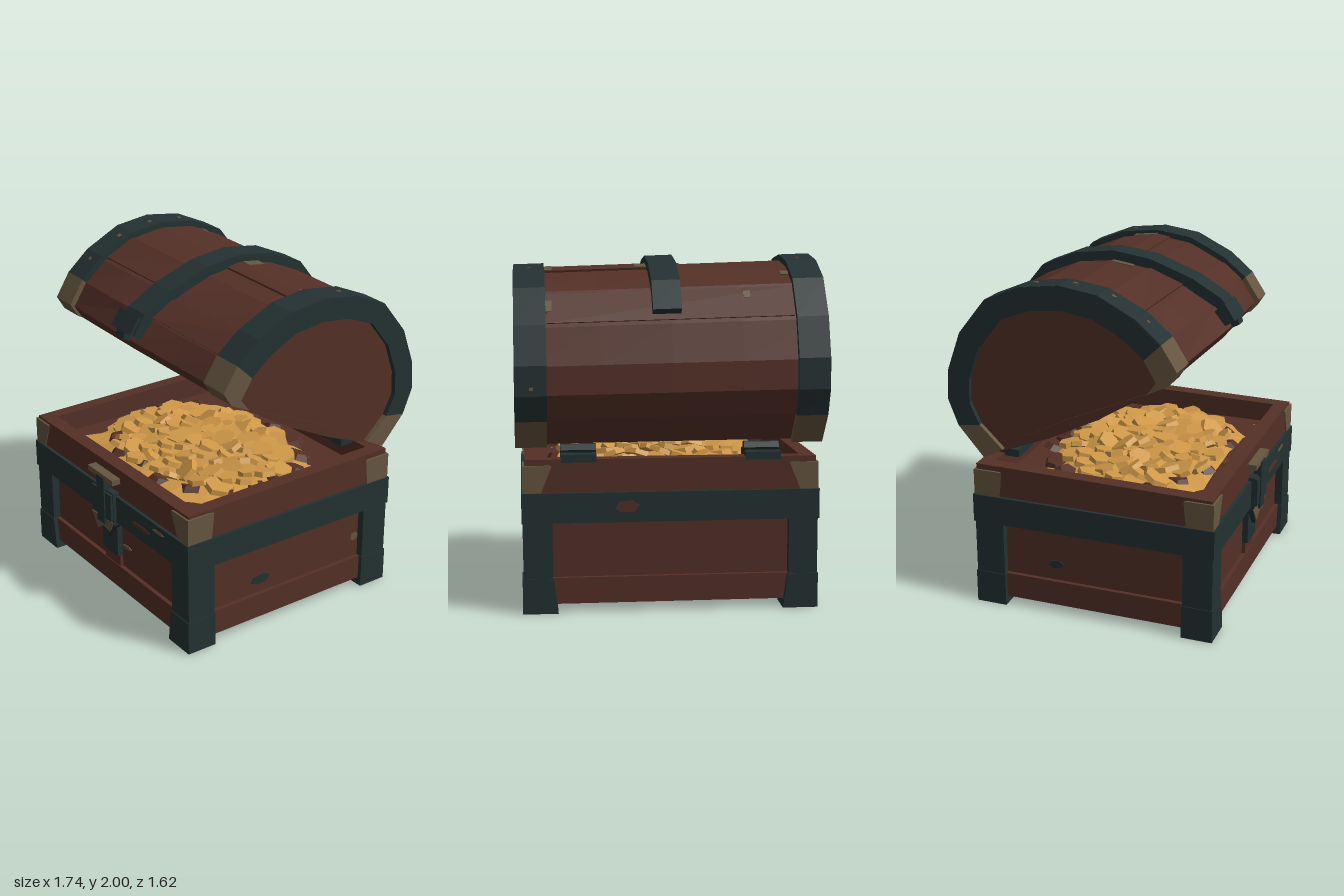
import * as THREE from 'three';

const mat = (name, color) => Object.assign(new THREE.MeshStandardMaterial({ color }), { name });

export function createModel() {
  const model = new THREE.Group();
  model.name = 'treasureChest';
  const wood = mat('wood', 0x543027);
  const metal = mat('darkIron', 0x243132);
  const patina = mat('wornBrass', 0x665640);
  const gold = mat('gold', 0xcf9848);

  let seed = 7;
  const rnd = (a = 0, b = 1) => {
    seed = (seed * 16807) % 2147483647;
    return a + (b - a) * (seed / 2147483647);
  };

  const base = new THREE.Group(); base.name = 'base';
  const lid = new THREE.Group(); lid.name = 'lid';
  const treasure = new THREE.Group(); treasure.name = 'treasure';
  model.add(base, lid, treasure);

  // Faceted mesh; warp moves each vertex by a rule
  function add(parent, name, geo, material, warp) {
    const g = geo.index ? geo.toNonIndexed() : geo;
    const p = g.attributes.position, v = new THREE.Vector3();
    if (warp) for (let i = 0; i < p.count; i++) {
      warp(v.fromBufferAttribute(p, i));
      p.setXYZ(i, v.x, v.y, v.z);
    }
    g.computeVertexNormals();
    const m = new THREE.Mesh(g, material);
    m.name = name;
    parent.add(m);
    return m;
  }
  const boxGeo = (x0, x1, y0, y1, z0, z1) =>
    new THREE.BoxGeometry(x1 - x0, y1 - y0, z1 - z0).translate((x0 + x1) / 2, (y0 + y1) / 2, (z0 + z1) / 2);
  const box = (parent, name, m, ...d) => add(parent, name, boxGeo(...d), m);
  const polygon = pts => new THREE.Shape(pts.map(p => new THREE.Vector2(p[0], p[1])));

  // ---------- Base ----------
  const rim = v => { if (v.y > 0.8) v.y -= 0.012 * v.z; };
  const slab = (shape, y0, y1) =>
    new THREE.ExtrudeGeometry(shape, { depth: y1 - y0, bevelEnabled: false }).rotateX(-Math.PI / 2).translate(0, y0, 0);
  const rect = (hx, zb, zf) => [[-hx, -zf], [hx, -zf], [hx, -zb], [-hx, -zb]];
  function frame(name, m, y0, y1, hx, zb, zf, t) {
    const s = polygon(rect(hx, zb, zf));
    s.holes.push(polygon(rect(hx - t, zb + t, zf - t).reverse()));
    add(base, name, slab(s, y0, y1), m, rim);
  }
  frame('lowerBoards', wood, 0.05, 0.2, 0.815, -0.665, 0.735, 0.1);
  frame('sidePanels', wood, 0.2, 0.53, 0.79, -0.64, 0.71, 0.08);
  frame('ironBelt', metal, 0.52, 0.69, 0.842, -0.695, 0.765, 0.1);
  frame('upperBoards', wood, 0.68, 0.87, 0.822, -0.675, 0.745, 0.085);
  box(base, 'bottomBoard', wood, -0.79, 0.79, 0.05, 0.1, -0.64, 0.71);
  box(base, 'innerFloor', wood, -0.75, 0.75, 0.7, 0.74, -0.6, 0.67);

  // Corner posts, feet and worn caps
  for (const sx of [-1, 1]) for (const sz of [-1, 1]) {
    const X = sx * 0.835, Z = sz > 0 ? 0.757 : -0.687;
    const corner = (name, m, w, d, y0, y1, out) => {
      const xs = [X + sx * out, X - sx * w].sort((a, b) => a - b);
      const zs = [Z + sz * out, Z - sz * d].sort((a, b) => a - b);
      return box(base, name, m, xs[0], xs[1], y0, y1, zs[0], zs[1]);
    };
    corner('cornerPost', metal, 0.165, 0.175, 0.15, 0.6, 0);
    const foot = boxGeo(-0.1, 0.1, 0, 0.2, -0.092, 0.092);
    add(base, 'foot', foot, metal, v => {
      const inner = v.x * sx < 0;
      if (inner && v.y > 0.1) v.x += sx * 0.025;
      v.x += X - sx * 0.095; v.z += Z - sz * 0.087;
    });
    const L = polygon([[0, 0], [-0.165, 0], [-0.14, -0.02], [-0.02, -0.02], [-0.02, -0.14], [0, -0.175]]
      .map(([a, b]) => [X + sx * a, -(Z + sz * b)]));
    add(base, 'cornerCap', slab(L, 0.68, 0.845), patina, v => {
      // lower corners are clipped at a slant
      if (v.y < 0.7) { v.x = X + (v.x - X) * 0.6; v.z = Z + (v.z - Z) * 0.9; }
    });
  }

  // Front strap, hasp and lock
  box(base, 'frontStrap', metal, -0.085, 0.08, 0.27, 0.53, 0.7, 0.745);
  box(base, 'strapBoard', wood, -0.085, 0.08, 0.2, 0.27, 0.7, 0.73);
  const haspShape = polygon([[-0.11, 0.71], [-0.11, 0.5], [0, 0.37], [0.11, 0.5], [0.11, 0.71]]);
  add(base, 'hasp', new THREE.ExtrudeGeometry(haspShape, { depth: 0.045, bevelEnabled: false }).translate(0, 0, 0.74), metal,
    v => { if (v.y < 0.4) v.z -= 0.02; });
  const trimShape = polygon([[-0.13, 0.51], [-0.06, 0.42], [0, 0.46], [0.07, 0.45], [0.11, 0.52]]);
  add(base, 'haspWear', new THREE.ExtrudeGeometry(trimShape, { depth: 0.007, bevelEnabled: false }).translate(0, 0, 0.783), patina);
  box(base, 'lockBolt', metal, -0.04, 0.04, 0.49, 0.79, 0.76, 0.805);
  for (const s of [-1, 1]) box(base, 'lockPlate', metal, s * 0.075 - 0.03, s * 0.075 + 0.03, 0.53, 0.7, 0.76, 0.8);
  box(base, 'lockBar', patina, -0.14, 0.13, 0.775, 0.808, 0.735, 0.8);

  // Scuffs and stains on the base, thin plates facing +z, or turned to +x / -x
  function scuff(parent, name, m, w, h, x, y, z, turn = 0) {
    const pts = [[-0.5, -0.2], [-0.2, -0.5], [0.3, -0.4], [0.5, 0.1], [0.2, 0.5], [-0.35, 0.35]].map(([a, b]) => [a * w, b * h]);
    add(parent, name, new THREE.ExtrudeGeometry(polygon(pts), { depth: 0.006, bevelEnabled: false }).rotateY(turn).translate(x, y, z), m);
  }
  scuff(base, 'stain', metal, 0.13, 0.06, 0.79, 0.285, 0.225, Math.PI / 2);
  scuff(base, 'stain', patina, 0.06, 0.05, 0.79, 0.335, -0.48, Math.PI / 2);
  scuff(base, 'stain', patina, 0.1, 0.025, 0.135, 0.345, 0.71);
  scuff(base, 'beltWear', wood, 0.2, 0.03, 0.37, 0.6, 0.763);
  scuff(base, 'beltWear', patina, 0.12, 0.02, 0.55, 0.65, 0.763);
  scuff(base, 'stain', metal, 0.1, 0.05, -0.79, 0.3, -0.2, -Math.PI / 2);
  scuff(base, 'beltWear', wood, 0.14, 0.07, 0.25, 0.61, -0.693, Math.PI);

  // Hinges
  for (const s of [-1, 1]) {
    box(base, 'hingePlate', metal, s * 0.52 - 0.1, s * 0.52 + 0.1, 0.86, 0.905, -0.68, -0.5);
    add(base, 'hingePin', new THREE.CylinderGeometry(0.035, 0.035, 0.2, 6).rotateZ(Math.PI / 2).translate(s * 0.52, 0.92, -0.58), metal);
  }

  // ---------- Lid ----------
  // Outer arch as [z, y], from the front lip over the top to the hinge
  const arch = [[0.5, 1.49], [0.55, 1.57], [0.46, 1.71], [0.32, 1.83], [0.1, 1.94], [-0.12, 1.97], [-0.35, 1.94],
    [-0.56, 1.85], [-0.72, 1.65], [-0.8, 1.43], [-0.81, 1.26], [-0.75, 1.11], [-0.6, 0.94]];
  const inset = (pts, d) => pts.map(([z, y]) => {
    const dz = -0.05 - z, dy = 1.22 - y, l = Math.hypot(dz, dy);
    return [z + dz / l * d, y + dy / l * d];
  });
  // The lid leans to one side and its front lip bulges at the middle
  const lidWarp = v => {
    const f = THREE.MathUtils.clamp((v.z - 0.2) / 0.3, 0, 1) * Math.max(0, 1 - Math.abs(v.x) / 0.75);
    v.y += 0.05 * f - 0.035 * v.x * (v.y - 0.7) / 1.3;
    v.z += 0.075 * f;
  };
  const across = (pts, x0, x1, steps = 1) =>
    new THREE.ExtrudeGeometry(polygon(pts), { depth: x1 - x0, steps, bevelEnabled: false }).rotateY(-Math.PI / 2).translate(x1, 0, 0);
  const ring = (pts, d0, d1) => [...inset(pts, d0), ...inset(pts, d1).reverse()];
  const lidAdd = (name, geo, m) => add(lid, name, geo, m, lidWarp);

  lidAdd('lidShell', across(ring(arch, 0.035, 0.12), -0.79, 0.79, 4), wood);
  const endShape = [...inset(arch, 0.035), [-0.2, 1.1], [0.1, 1.25]];
  for (const s of [-1, 1]) {
    const span = (a, b) => s > 0 ? [a, b] : [-b, -a];
    lidAdd('lidEnd', across(endShape, ...span(0.78, 0.842)), wood);
    lidAdd('lidEndBoard', across([[0.38, 1.43], [0.1, 1.25], [-0.2, 1.1], [-0.48, 0.99], [-0.35, 1.09], [-0.1, 1.22]], ...span(0.84, 0.852)), wood);
    for (const [name, m, a, b] of [['lidCornerCap', patina, 0, 2], ['lidBand', metal, 2, 11], ['lidHingeCap', patina, 11, 12]]) {
      const part = arch.slice(a, b + 1);
      lidAdd(name, across(ring(part, 0, 0.06), ...span(0.695, 0.87)), m);
      lidAdd(name + 'Face', across(ring(part, 0.002, 0.135), ...span(0.83, 0.872)), m);
    }
  }

  // Plates lying along one arch segment, from t0 to t1
  function plate(name, m, seg, t0, t1, x0, x1, lift) {
    const [a, b] = inset(arch.slice(seg, seg + 2), 0.035);
    const at = t => [a[0] + (b[0] - a[0]) * t, a[1] + (b[1] - a[1]) * t];
    lidAdd(name, across(ring([at(t0), at(t1)], -lift, 0.02), x0, x1), m);
  }
  plate('raisedBoard', wood, 1, 0.1, 0.95, -0.68, -0.06, 0.008);
  plate('raisedBoard', wood, 2, 0.05, 0.9, 0.1, 0.69, 0.012);
  plate('raisedBoard', wood, 3, 0.1, 0.95, -0.69, -0.06, 0.012);
  plate('raisedBoard', wood, 4, 0.6, 1, 0.1, 0.69, 0.012);
  plate('raisedBoard', wood, 5, 0, 0.65, 0.1, 0.69, 0.012);
  plate('raisedBoard', wood, 7, 0.1, 0.9, -0.69, 0.69, 0.008);
  plate('strapWear', patina, 5, 0.1, 0.6, 0.1, 0.17, 0.016);
  plate('strapWear', patina, 4, 0.4, 1, -0.1, -0.06, 0.006);
  plate('bandWear', patina, 5, 0.0, 0.62, 0.65, 0.697, 0.016);
  plate('bandWear', patina, 7, 0.3, 0.6, 0.66, 0.7, 0.014);
  plate('bandWear', patina, 6, 0.3, 0.5, -0.7, -0.65, 0.006);
  plate('stain', patina, 7, 0.2, 0.4, -0.45, -0.41, 0.012);
  for (const [seg, x] of [[3, -0.76], [4, -0.76], [5, -0.77], [5, 0.78], [2, -0.78], [9, 0.78]])
    plate('rivet', patina, seg, 0.7, 0.8, x - 0.01, x + 0.01, 0.04);

  // Middle strap with its catch
  const strap = [...arch.slice(2, 8), [-0.68, 1.7]];
  lidAdd('middleStrap', across(ring([[0.53, 1.6], ...strap], -0.022, 0.05), -0.055, 0.105), metal);
  lidAdd('catch', across(ring([[0.545, 1.6], [0.485, 1.69]], -0.028, 0.04), -0.1, 0.095), metal);
  lidAdd('catchTip', across(ring([[0.555, 1.565], [0.54, 1.61]], -0.02, 0.03), -0.04, 0.04), metal);

  // ---------- Treasure ----------
  const height = (x, z) => 0.73 + 0.12 * Math.max(0, 1 - (x / 0.78) ** 2 - ((z - 0.08) / 0.62) ** 2);
  const mound = new THREE.PlaneGeometry(1.3, 0.98, 9, 7).rotateX(-Math.PI / 2).translate(0, 0, 0.08);
  add(treasure, 'coinHeap', mound, gold, v => { v.y = height(v.x, v.z) + 0.012 * Math.sin(v.x * 23 + v.z * 31); });
  const piece = (name, geo, m, x, y, z) => {
    const p = add(treasure, name, geo, m);
    p.position.set(x, y, z);
    p.rotation.set(rnd(-0.45, 0.45), rnd(0, 6), rnd(-0.45, 0.45));
  };
  for (let i = 0; i < 85; i++) {
    const a = i * 2.4, q = Math.sqrt((i + 0.5) / 85);
    const x = 0.6 * q * Math.cos(a), z = 0.08 + 0.46 * q * Math.sin(a), r = rnd(0.055, 0.095);
    piece('coin', new THREE.CylinderGeometry(r * 0.9, r, 0.03, 6 + (i % 2)), gold, x, height(x, z) + 0.015, z);
  }
  // Wooden debris around the heap
  for (let i = 0; i < 18; i++) {
    const a = i * 0.349 + 0.2, x = 0.62 * Math.cos(a), z = 0.03 + 0.5 * Math.sin(a);
    piece('debris', new THREE.CylinderGeometry(0.06, 0.085, 0.04, 6), wood, x, 0.765, z);
  }
  return model;
}
